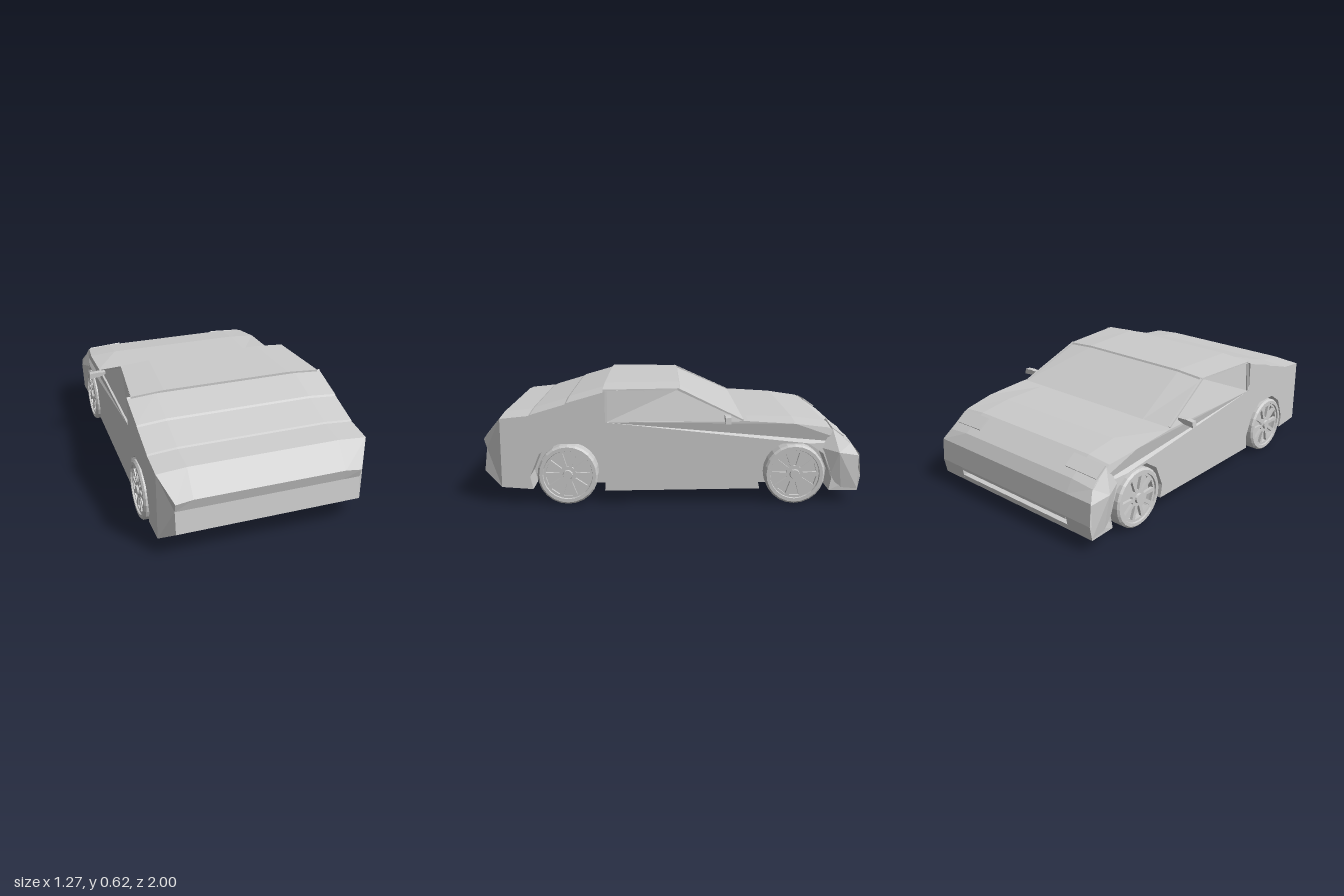
import * as THREE from 'three';

const mat = new THREE.MeshStandardMaterial({ color: 0xcccccc, flatShading: true });
const thin = new THREE.MeshStandardMaterial({ color: 0xcccccc, flatShading: true, side: THREE.DoubleSide });
const INNER = 0.4; // half width of the centre section and depth limit of the wheel wells

function add(parent, name, geo, material = mat) {
  const mesh = new THREE.Mesh(geo, material);
  mesh.name = name;
  parent.add(mesh);
  return mesh;
}

const toShape = (pts) => new THREE.Shape(pts.map(([a, b]) => new THREE.Vector2(a, b)));

// Extrudes a (z, y) outline across x, then moves each vertex by a rule
function slab(pts, x0, x1, rule, steps = 1) {
  const geo = new THREE.ExtrudeGeometry(toShape(pts), { depth: x1 - x0, bevelEnabled: false, steps });
  geo.rotateY(-Math.PI / 2).translate(x1, 0, 0);
  if (rule) {
    const p = geo.attributes.position;
    const v = new THREE.Vector3();
    for (let i = 0; i < p.count; i++) {
      rule(v.fromBufferAttribute(p, i));
      p.setXYZ(i, v.x, v.y, v.z);
    }
    geo.computeVertexNormals();
  }
  return geo;
}

// Body outline as (z, y), tail to nose
const top = [
  [0.985, 0.29], [1, 0.35], [0.9, 0.472], [0.75, 0.487], [0.74, 0.493], [0.56, 0.547], [0.55, 0.555],
  [0.36, 0.61], [0.35, 0.605], [0.35, 0.44], [-0.4, 0.445], [-0.65, 0.442], [-0.83, 0.418], [-0.95, 0.335], [-0.99, 0.27],
];
const slot = [[-1, 0.15], [-1, 0.135], [-0.95, 0.13], [-0.95, 0.1], [-0.99, 0.1], [-0.985, 0.07]];
const tailBottom = [[0.73, 0.09], [0.9, 0.092], [1, 0.167]];
const arch = (c) => [[-0.185, 0.07], [-0.2, 0.15], [-0.15, 0.27], [-0.07, 0.325], [0.07, 0.325],
  [0.15, 0.27], [0.2, 0.15], [0.185, 0.08]].map(([z, y]) => [c + z, y]);

// Tapers the tail and the nose, and drops the shoulders a little
function shoulder(v) {
  if (Math.abs(v.x) < 0.5) return;
  let w = 0.555;
  if (v.z > 0.95) w = 0.49;
  else if (v.z < -0.8 && v.y > 0.3) w = 0.535;
  else if (v.z < -0.94) w = 0.56;
  v.x = Math.sign(v.x) * w;
  if (v.y > 0.33 && !(v.z < 0.355 && v.z > -0.5)) v.y -= 0.012;
}

// Narrows the cabin towards the front of the roof and crowns the roof
function cabinRule(v) {
  const high = v.y > 0.5;
  const w = high ? (v.z > 0.2 ? 0.535 : 0.495) : 0.545;
  if (high && Math.abs(v.x) > 0.9) v.y -= 0.012;
  v.x *= w;
}

function buildWheel() {
  const wheel = new THREE.Group();
  // Tyre and rim barrel, axis along y, outer face up
  const profile = [[0.125, -0.045], [0.15, -0.045], [0.16, -0.035], [0.16, 0.035], [0.15, 0.045],
    [0.132, 0.045], [0.128, 0.03], [0.125, -0.045]].map(([r, y]) => new THREE.Vector2(r, y));
  add(wheel, 'tyre', new THREE.LatheGeometry(profile, 24), thin);
  // Spoked face with wedge openings
  const face = new THREE.Shape().absarc(0, 0, 0.13, 0, Math.PI * 2);
  for (let i = 0; i < 10; i++) {
    const a = (i * Math.PI) / 5;
    const corner = (r, d) => new THREE.Vector2(r * Math.cos(a + d), r * Math.sin(a + d));
    face.holes.push(new THREE.Path([corner(0.045, -0.13), corner(0.118, -0.22), corner(0.118, 0.22), corner(0.045, 0.13)]));
  }
  const spokes = new THREE.ExtrudeGeometry(face, { depth: 0.016, bevelEnabled: false, curveSegments: 24 });
  spokes.rotateX(-Math.PI / 2).translate(0, 0.02, 0);
  add(wheel, 'spokes', spokes);
  add(wheel, 'hub', new THREE.CylinderGeometry(0.024, 0.028, 0.014, 12).translate(0, 0.04, 0));
  add(wheel, 'brakeDisc', new THREE.CylinderGeometry(0.126, 0.126, 0.02, 24).translate(0, -0.015, 0));
  add(wheel, 'innerHub', new THREE.CylinderGeometry(0.03, 0.03, 0.03, 12).translate(0, -0.03, 0));
  return wheel;
}

// Faceted bulge on the front corner, fanned out from its apex
function fenderBulge(s) {
  const rim = [[0.533, 0.4, -0.85], [0.55, 0.3, -0.79], [0.552, 0.15, -0.84], [0.555, 0.07, -0.9],
    [0.56, 0.08, -0.985], [0.56, 0.26, -0.988], [0.533, 0.323, -0.95]];
  const apex = [0.582, 0.28, -0.88];
  const pos = [];
  rim.forEach((p, i) => {
    for (const q of [apex, p, rim[(i + 1) % rim.length]]) pos.push(s * q[0], q[1], q[2]);
  });
  const geo = new THREE.BufferGeometry();
  geo.setAttribute('position', new THREE.Float32BufferAttribute(pos, 3));
  geo.computeVertexNormals();
  return geo;
}

// Square bar between two points
function bar(a, b, size) {
  const from = new THREE.Vector3(...a), to = new THREE.Vector3(...b);
  const geo = new THREE.BoxGeometry(size, size, from.distanceTo(to));
  geo.lookAt(to.clone().sub(from));
  const mid = from.add(to).multiplyScalar(0.5);
  return geo.translate(mid.x, mid.y, mid.z);
}

export function createModel() {
  const car = new THREE.Group();
  car.name = 'car';

  // Centre of the body with the bumper slot in the nose
  add(car, 'bodyCentre', slab([...top, ...slot, [0.4, 0.07], ...tailBottom], -INNER, INNER));

  // Body sides with wheel arches
  const side = [...top, [-1, 0.15], [-0.985, 0.07], ...arch(-0.65), [0.355, 0.07], ...arch(0.55).slice(1), ...tailBottom.slice(1)];
  add(car, 'bodySideLeft', slab(side, INNER, 0.555, shoulder));
  add(car, 'bodySideRight', slab(side, -0.555, -INNER, shoulder));

  // Cabin with windscreen, side windows and roof
  const cabin = [[0.352, 0.435], [0.352, 0.615], [-0.03, 0.615], [-0.39, 0.44]];
  add(car, 'cabin', slab(cabin, -1, 1, cabinRule, 6));
  const roof = [[0.362, 0.607], [0.362, 0.622], [-0.04, 0.622], [-0.045, 0.612]];
  add(car, 'roofPanel', slab(roof, -1, 1, cabinRule, 6));

  for (const s of [1, -1]) {
    const tag = s > 0 ? 'Left' : 'Right';
    add(car, 'windscreenPillar' + tag, bar([s * 0.49, 0.607, -0.03], [s * 0.538, 0.445, -0.375], 0.012));
    add(car, 'windowPillar' + tag, bar([s * 0.535, 0.6, 0.346], [s * 0.547, 0.44, 0.346], 0.014));
    add(car, 'fenderBulge' + tag, fenderBulge(s), thin);

    // Headlight panel lying on the slope of the nose
    const lamp = add(car, 'headlight' + tag, new THREE.BoxGeometry(0.2, 0.012, 0.08));
    lamp.position.set(s * 0.425, 0.382, -0.88);
    lamp.rotation.set(-0.616, 0, -s * 0.06);

    // Door mirror with its arm
    const outline = [[0.54, 0.465], [0.575, 0.452], [0.636, 0.445], [0.632, 0.476], [0.59, 0.48], [0.54, 0.478]];
    const mirror = new THREE.ExtrudeGeometry(toShape(outline.map(([x, y]) => [s * x, y])), { depth: 0.03, bevelEnabled: false });
    add(car, 'mirror' + tag, mirror.translate(0, 0, -0.305));

    for (const [name, z] of [['frontWheel', -0.65], ['rearWheel', 0.55]]) {
      const wheel = buildWheel();
      wheel.name = name + tag;
      wheel.position.set(s * 0.525, 0.16, z);
      wheel.rotation.z = (-s * Math.PI) / 2;
      car.add(wheel);
    }
  }
  return car;
}
